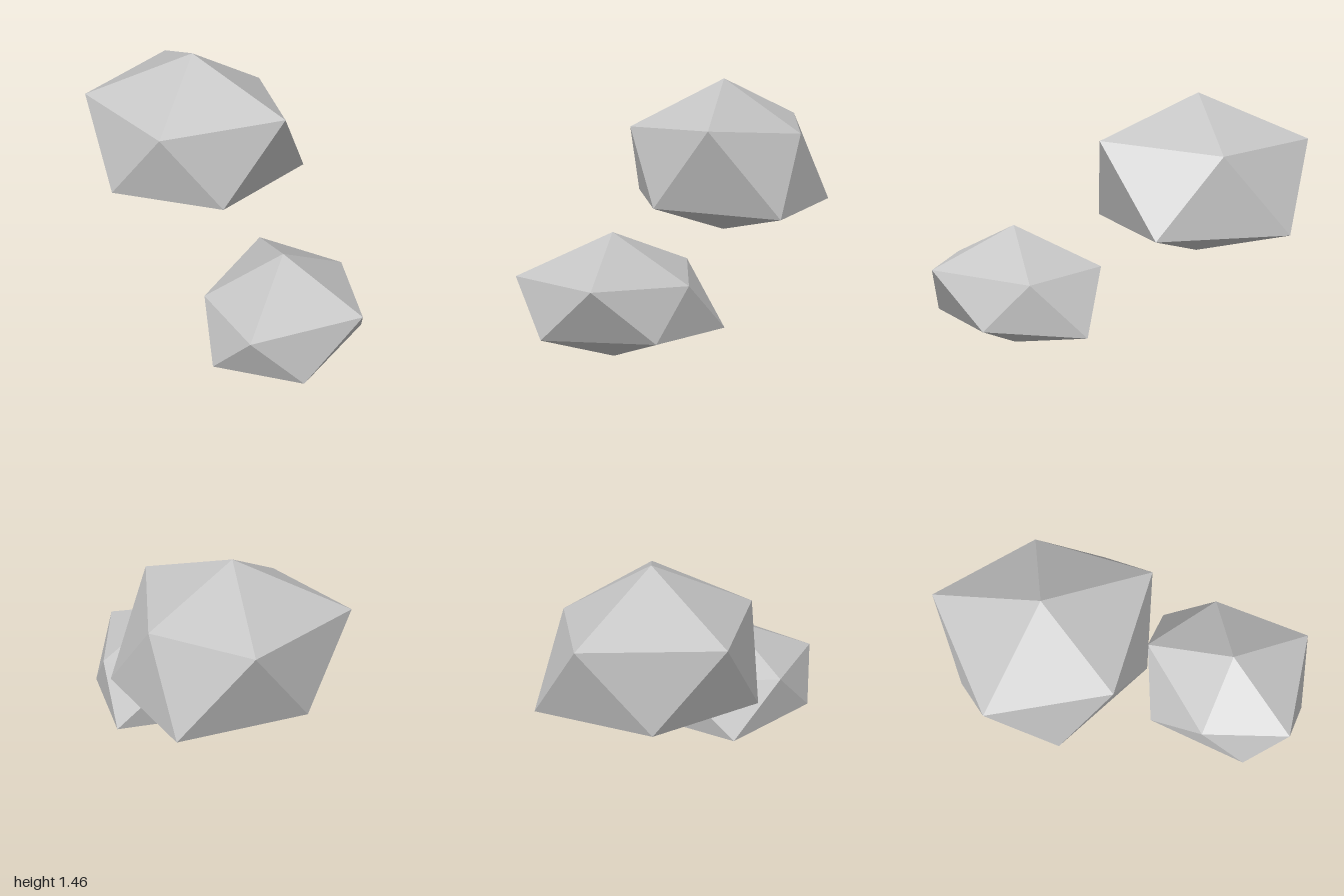
import * as THREE from 'three';

// Faceted stone: an icosahedron-like hull from a top point, two staggered rings of five, and a bottom point
function makeStone(name, top, upper, lower, bottom, material) {
  const n = upper.length;
  const corners = [];
  for (let i = 0; i < n; i++) {
    const j = (i + 1) % n;
    corners.push(
      top, upper[j], upper[i],          // cap
      upper[i], upper[j], lower[i],     // side, pointing down
      lower[i], upper[j], lower[j],     // side, pointing up
      bottom, lower[i], lower[j]        // underside
    );
  }
  const geometry = new THREE.BufferGeometry();
  geometry.setAttribute('position', new THREE.Float32BufferAttribute(corners.flat(), 3));
  geometry.computeVertexNormals();
  const mesh = new THREE.Mesh(geometry, material);
  mesh.name = name;
  return mesh;
}

export function createModel() {
  const group = new THREE.Group();
  group.name = 'stones';
  const stone = new THREE.MeshStandardMaterial({ color: 0xc4c4c4 });
  stone.name = 'stone grey';

  // Large stone, higher and behind
  group.add(makeStone('largeStone',
    [-0.46, 1.46, -0.18],
    [[0.185, 1.22, -0.18], [-0.29, 1.18, 0.36], [-0.965, 1.21, 0.195], [-0.96, 1.205, -0.56], [-0.315, 1.155, -0.655]],
    [[0, 0.74, 0.165], [-0.64, 0.74, 0.38], [-1, 0.75, -0.18], [-0.66, 0.715, -0.805], [0.065, 0.71, -0.58]],
    [-0.46, 0.54, -0.18],
    stone));

  // Small stone, resting on the ground in front
  group.add(makeStone('smallStone',
    [0.49, 0.7, 0.295],
    [[1, 0.49, 0.295], [0.625, 0.465, 0.805], [0.165, 0.455, 0.58], [0.105, 0.48, -0.05], [0.605, 0.445, -0.145]],
    [[0.84, 0.175, 0.61], [0.36, 0.18, 0.775], [-0.03, 0.145, 0.295], [0.33, 0.145, -0.3], [0.83, 0.18, -0.01]],
    [0.49, 0, 0.295],
    stone));

  return group;
}
